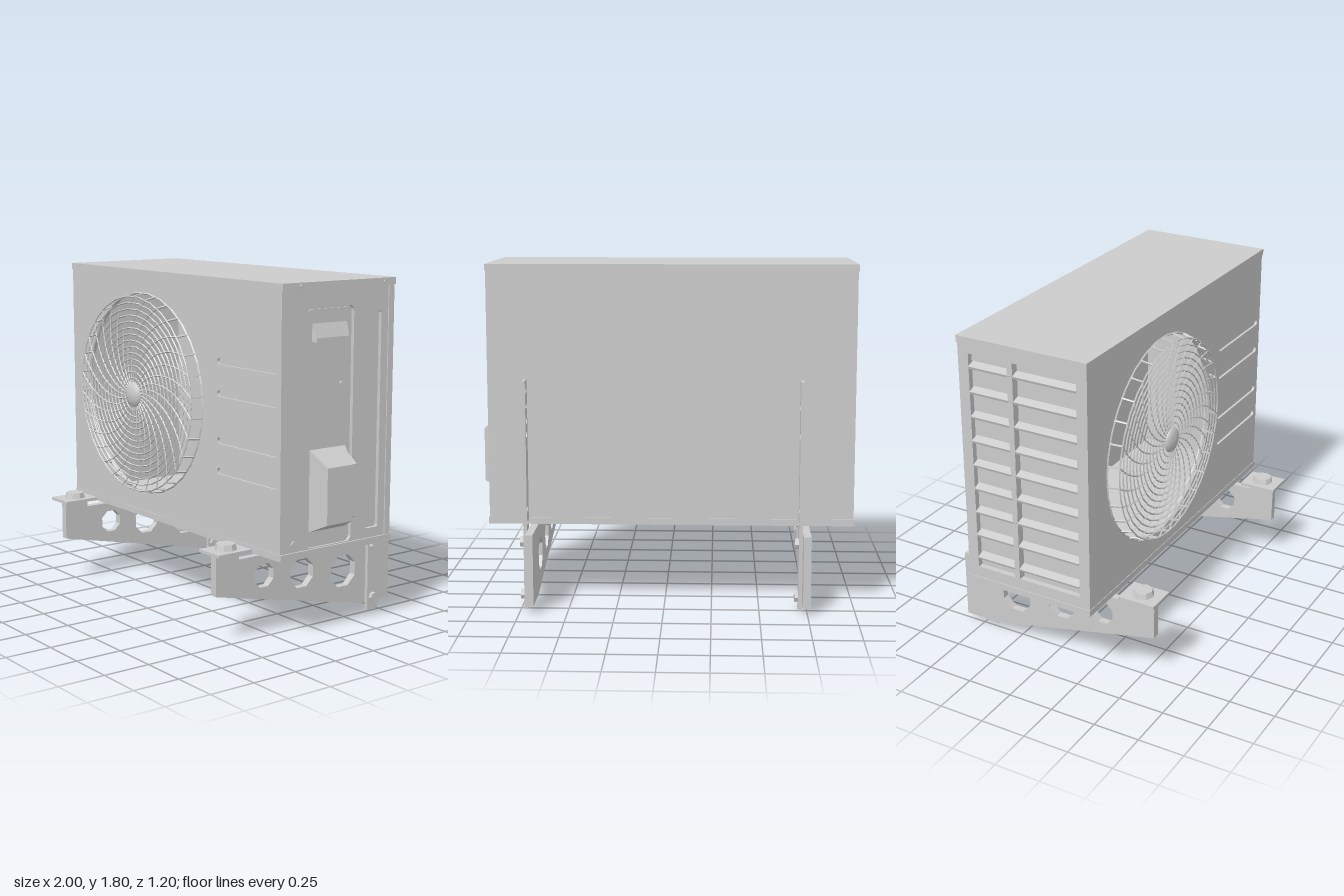
import * as THREE from 'three';

const mat = new THREE.MeshStandardMaterial({ color: 0xcccccc, flatShading: true });
const smooth = new THREE.MeshStandardMaterial({ color: 0xcccccc });

export function createModel() {
  const root = new THREE.Group();

  const add = (name, geo, parent = root, m = mat) => {
    const mesh = new THREE.Mesh(geo, m);
    mesh.name = name;
    parent.add(mesh);
    return mesh;
  };
  const group = (name, parent = root) => {
    const g = new THREE.Group();
    g.name = name;
    parent.add(g);
    return g;
  };
  // Box given by its limits
  const box = (x0, x1, y0, y1, z0, z1) => new THREE.BoxGeometry(x1 - x0, y1 - y0, z1 - z0)
    .translate((x0 + x1) / 2, (y0 + y1) / 2, (z0 + z1) / 2);
  // Outlines in a plane: rounded rectangle, circle
  const rect = (a0, a1, b0, b1, r = 0, seg = 4) => {
    const pts = [];
    const corners = [[a1 - r, b1 - r], [a0 + r, b1 - r], [a0 + r, b0 + r], [a1 - r, b0 + r]];
    corners.forEach(([a, b], i) => {
      const n = r ? seg : 0;
      for (let k = 0; k <= n; k++) {
        const t = (i + (n ? k / n : 0)) * Math.PI / 2;
        pts.push(new THREE.Vector2(a + r * Math.cos(t), b + r * Math.sin(t)));
      }
    });
    return pts;
  };
  const circle = (a, b, r, n = 8) => Array.from({ length: n }, (_, i) => {
    const t = (i + 0.5) / n * Math.PI * 2;
    return new THREE.Vector2(a + r * Math.cos(t), b + r * Math.sin(t));
  });
  const plate = (outline, holes, depth) => {
    const s = new THREE.Shape(outline);
    holes.forEach(h => s.holes.push(new THREE.Path(h)));
    return new THREE.ExtrudeGeometry(s, { depth, bevelEnabled: false });
  };
  // Plate drawn in (z, y), spanning x1 - depth to x1
  const sidePlate = (outline, holes, depth, x1) =>
    plate(outline, holes, depth).rotateY(-Math.PI / 2).translate(x1, 0, 0);
  // Tapered block growing from a (z, y) rectangle at x0 to another at x1
  const taper = (x0, x1, [az0, az1, ay0, ay1], [bz0, bz1, by0, by1]) => {
    const g = new THREE.BoxGeometry(1, 1, 1);
    const p = g.attributes.position;
    for (let i = 0; i < p.count; i++) {
      const out = p.getX(i) > 0, up = p.getY(i) > 0, fwd = p.getZ(i) > 0;
      p.setXYZ(i, out ? x1 : x0,
        out ? (up ? by1 : by0) : (up ? ay1 : ay0),
        out ? (fwd ? bz1 : bz0) : (fwd ? az1 : az0));
    }
    g.computeVertexNormals();
    return g;
  };
  // Bolt or screw head pointing along +x
  const sideBolt = (x0, x1, y, z, r, n = 8) => new THREE.CylinderGeometry(r, r, x1 - x0, n)
    .rotateZ(-Math.PI / 2).translate((x0 + x1) / 2, y, z);

  // Casing
  const casing = group('casing');
  const cx = -0.27, cy = 1.13, R = 0.55;
  add('lid', box(-1, 0.93, 1.77, 1.805, -0.405, 0.333), casing);
  add('baseTray', box(-1, 0.93, 0.435, 0.47, -0.405, 0.333), casing);
  add('backPanel', box(-0.99, 0.92, 0.47, 1.77, -0.4, -0.38), casing);
  const slots = [1.38, 1.215, 0.97, 0.81].map(y => rect(0.405, 0.89, y - 0.016, y + 0.016, 0.0155));
  add('frontPanel', plate(rect(-0.995, 0.92, 0.47, 1.77), [circle(cx, cy, R, 30), ...slots], 0.02)
    .translate(0, 0, 0.31), casing);
  add('slotBacking', box(0.38, 0.9, 0.76, 1.43, 0.308, 0.316), casing);

  // Right-hand end: framed panel with a deep recess and a long pressed slot
  const service = group('servicePanel');
  add('sideFrame', sidePlate(rect(-0.4, 0.31, 0.47, 1.77),
    [rect(-0.135, 0.165, 0.475, 1.68, 0.03), rect(-0.32, -0.235, 0.52, 1.64, 0.012)], 0.025, 0.92), service);
  add('recessBack', box(0.885, 0.9, 0.47, 1.77, -0.38, 0.31), service);
  add('recessPanel', sidePlate(rect(-0.125, 0.155, 0.475, 1.67, 0.025), [], 0.01, 0.908), service);
  add('sideCorner', box(0.9, 0.926, 0.47, 1.77, -0.4, -0.365), service);
  add('handle', taper(0.9, 0.936, [-0.1, 0.13, 1.51, 1.62], [-0.09, 0.12, 1.51, 1.53]), service);
  add('valveCover', taper(0.9, 1, [-0.1, 0.14, 0.55, 0.98], [-0.07, 0.095, 0.6, 0.89]), service);
  add('valveCoverSide', taper(0.9, 0.99, [-0.125, 0, 0.58, 0.93], [-0.105, 0, 0.62, 0.89]), service);
  [[0.51, 0.245, 0.018, 0.928], [1.29, -0.065, 0.011, 0.916], [1.787, 0.22, 0.009, 0.938],
    [1.787, -0.33, 0.009, 0.938]].forEach(([y, z, r, x]) =>
    add('screw', sideBolt(0.9, x, y, z, r, 10), service));

  // Left-hand end: louvred intake
  const intake = group('intakeGrille');
  add('intakeFrame', sidePlate(rect(-0.4, 0.31, 0.47, 1.77), [rect(-0.34, 0.27, 0.53, 1.72)], 0.03, -0.965), intake);
  add('intakeBack', box(-0.955, -0.945, 0.47, 1.77, -0.38, 0.31), intake);
  add('intakeBar', box(-0.997, -0.95, 0.53, 1.72, -0.115, -0.085), intake);
  for (let i = 0; i < 9; i++) {
    const slat = add('louvre', new THREE.BoxGeometry(0.045, 0.014, 0.61), intake);
    slat.position.set(-0.975, 0.59 + i * 0.133, -0.035);
    slat.rotation.z = 0.35;
  }

  // Fan guard: rings joined by swirling spokes that bend back to the panel
  const guard = group('fanGuard');
  guard.position.set(cx, cy, 0);
  const N = 30, zf = 0.393;
  for (let i = 0; i < 14; i++) {
    const ring = add('guardRing', new THREE.TorusGeometry(0.09 + i * 0.0342, 0.0045, 4, N), guard);
    ring.position.z = zf;
  }
  add('guardRim', new THREE.TorusGeometry(R, 0.006, 4, N), guard).position.z = 0.33;
  const spoke = new THREE.CurvePath();
  const pts = [];
  for (let k = 0; k <= 8; k++) {
    const r = 0.05 + 0.485 * k / 8, t = -0.75 * k / 8;
    pts.push(new THREE.Vector3(r * Math.cos(t), r * Math.sin(t), zf));
  }
  const end = pts[8];
  const foot = end.clone().multiplyScalar(R / 0.535).setZ(0.322);
  spoke.add(new THREE.CatmullRomCurve3(pts));
  spoke.add(new THREE.LineCurve3(end, foot));
  const spokeGeo = new THREE.TubeGeometry(spoke.curves[0], 10, 0.0045, 4);
  const legGeo = new THREE.TubeGeometry(spoke.curves[1], 1, 0.006, 4);
  for (let i = 0; i < N; i++) {
    const a = i / N * Math.PI * 2;
    add('guardSpoke', spokeGeo, guard).rotation.z = a;
    add('guardLeg', legGeo, guard).rotation.z = a;
  }
  const hub = [[0, 0.375], [0.068, 0.38], [0.07, 0.393], [0.06, 0.407], [0.035, 0.418], [0, 0.422]];
  add('guardHub', new THREE.LatheGeometry(hub.map(p => new THREE.Vector2(...p)), 24).rotateX(Math.PI / 2), guard, smooth);

  // Wall brackets
  const arm = [[0.57, 0.25], [0.57, 0.465], [0.425, 0.465], [0.425, 0.42], [-0.6, 0.42], [-0.6, 0.04], [-0.4, 0.04]]
    .map(p => new THREE.Vector2(...p));
  const strapHoles = [1.16, 1.08, 1.0, 0.93, 0.535, 0.465].map(y => circle(-0.468, y, 0.02, 10));
  for (const x of [-0.745, 0.695]) {
    const b = group('wallBracket');
    b.position.x = x;
    add('bracketArm', sidePlate(arm,
      [circle(0.265, 0.31, 0.066), circle(0.015, 0.28, 0.083), circle(-0.27, 0.243, 0.092)], 0.04, 0.02), b);
    add('bracketStrap', sidePlate(rect(-0.505, -0.43, 0.002, 1.21), strapHoles, 0.02, 0.04), b);
    for (const y of [0.355, 0.07]) add('strapBolt', sideBolt(0.03, 0.06, y, -0.468, 0.028), b);
    add('supportPad', box(-0.083, 0.083, 0.465, 0.481, 0.395, 0.6), b);
    add('padBolt', new THREE.CylinderGeometry(0.05, 0.058, 0.03, 8).translate(0, 0.496, 0.495), b);
  }
  return root;
}
